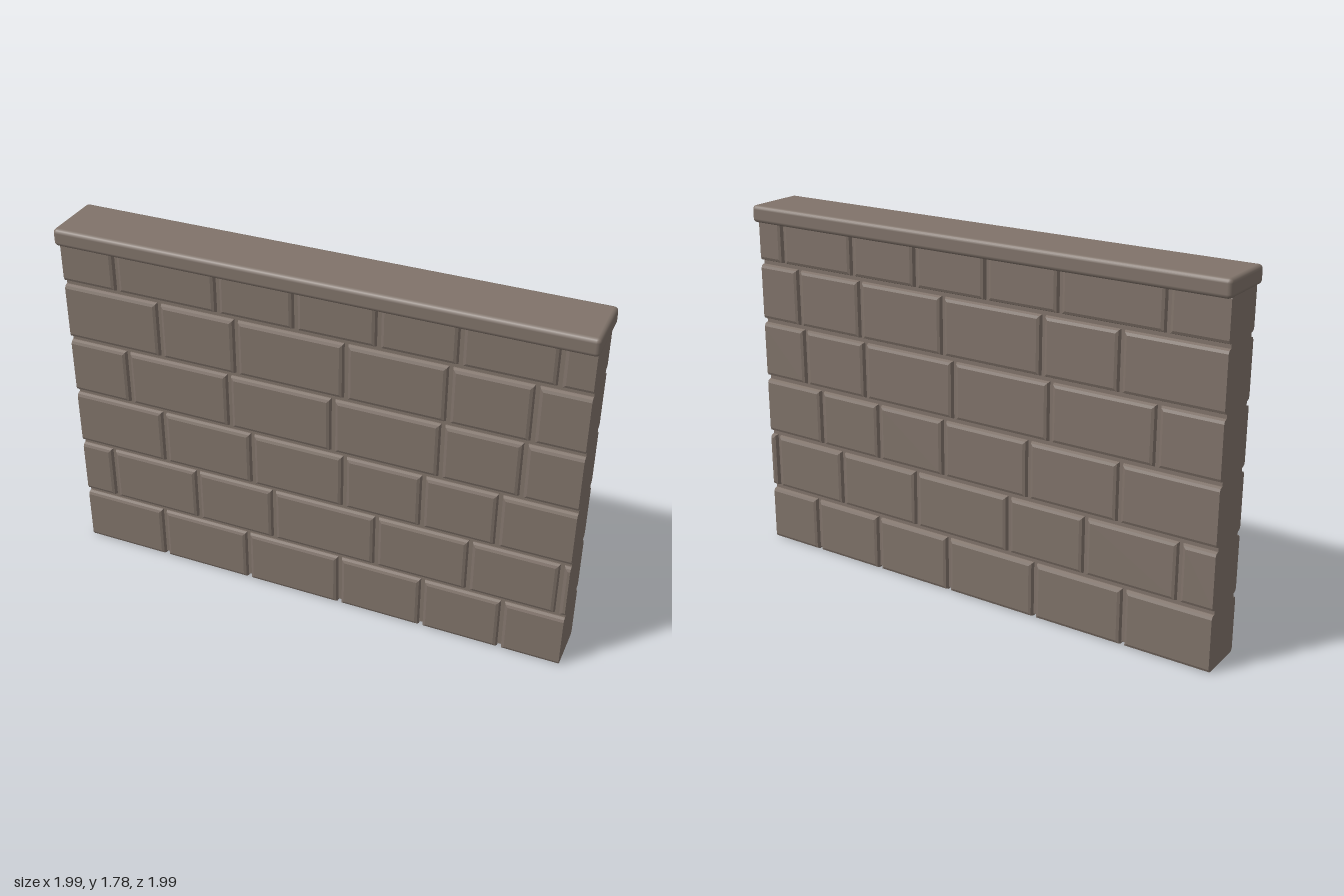
import * as THREE from 'three';
import { RoundedBoxGeometry } from 'three/addons/geometries/RoundedBoxGeometry.js';

const HALF_LENGTH = 1.255;
const HALF_DEPTH = 0.12;
const GAP = 0.02;
const BEVEL = 0.018;

// Joint centres along the wall for each course, bottom to top
const COURSES = [
  [-0.82, -0.35, 0.14, 0.565, 0.96],
  [-1.085, -0.615, -0.205, 0.325, 0.785, 1.215],
  [-0.78, -0.31, 0.16, 0.545, 0.905],
  [-0.95, -0.42, 0.10, 0.62, 0.995],
  [-0.765, -0.375, 0.16, 0.64, 1.02],
  [-0.975, -0.46, -0.08, 0.31, 0.68, 1.11],
];

// Block with softened edges, running through the full depth and cut flat at the wall ends
function blockGeometry(x0, x1, y0, y1) {
  const b = BEVEL;
  const shape = new THREE.Shape([
    new THREE.Vector2(x0 + b, y0 + b),
    new THREE.Vector2(x1 - b, y0 + b),
    new THREE.Vector2(x1 - b, y1 - b),
    new THREE.Vector2(x0 + b, y1 - b),
  ]);
  const depth = 2 * (HALF_DEPTH - b);
  const geometry = new THREE.ExtrudeGeometry(shape, {
    depth, bevelEnabled: true, bevelSize: b, bevelThickness: b, bevelSegments: 2,
  });
  geometry.translate(0, 0, -depth / 2);
  const p = geometry.attributes.position;
  for (let i = 0; i < p.count; i++) {
    p.setX(i, THREE.MathUtils.clamp(p.getX(i), -HALF_LENGTH, HALF_LENGTH));
  }
  geometry.computeVertexNormals();
  return geometry;
}

export function createModel() {
  const stone = new THREE.MeshStandardMaterial({ color: 0x80736a });
  stone.name = 'stone';

  const wall = new THREE.Group();
  wall.name = 'wall';

  // Recessed mortar core
  const core = new THREE.Mesh(new THREE.BoxGeometry(2 * HALF_LENGTH, 1.7, 0.194), stone);
  core.name = 'mortarCore';
  core.position.y = 0.86;
  wall.add(core);

  // Courses of blocks
  COURSES.forEach((joints, row) => {
    const course = new THREE.Group();
    course.name = `course${row + 1}`;
    const y0 = row * 0.3;
    const y1 = row === COURSES.length - 1 ? 1.71 : y0 + 0.28;
    const ends = [-HALF_LENGTH - 0.06, ...joints, HALF_LENGTH + 0.06];
    for (let i = 0; i < ends.length - 1; i++) {
      const block = new THREE.Mesh(
        blockGeometry(ends[i] + GAP / 2, ends[i + 1] - GAP / 2, y0, y1), stone);
      block.name = `block${i + 1}`;
      course.add(block);
    }
    wall.add(course);
  });

  // Coping slab
  const coping = new THREE.Mesh(new RoundedBoxGeometry(2.532, 0.085, 0.31, 2, 0.02), stone);
  coping.name = 'coping';
  coping.position.y = 1.7375;
  wall.add(coping);

  // The wall runs diagonally
  wall.rotation.y = -Math.PI / 4;

  const model = new THREE.Group();
  model.name = 'blockWall';
  model.add(wall);
  return model;
}
